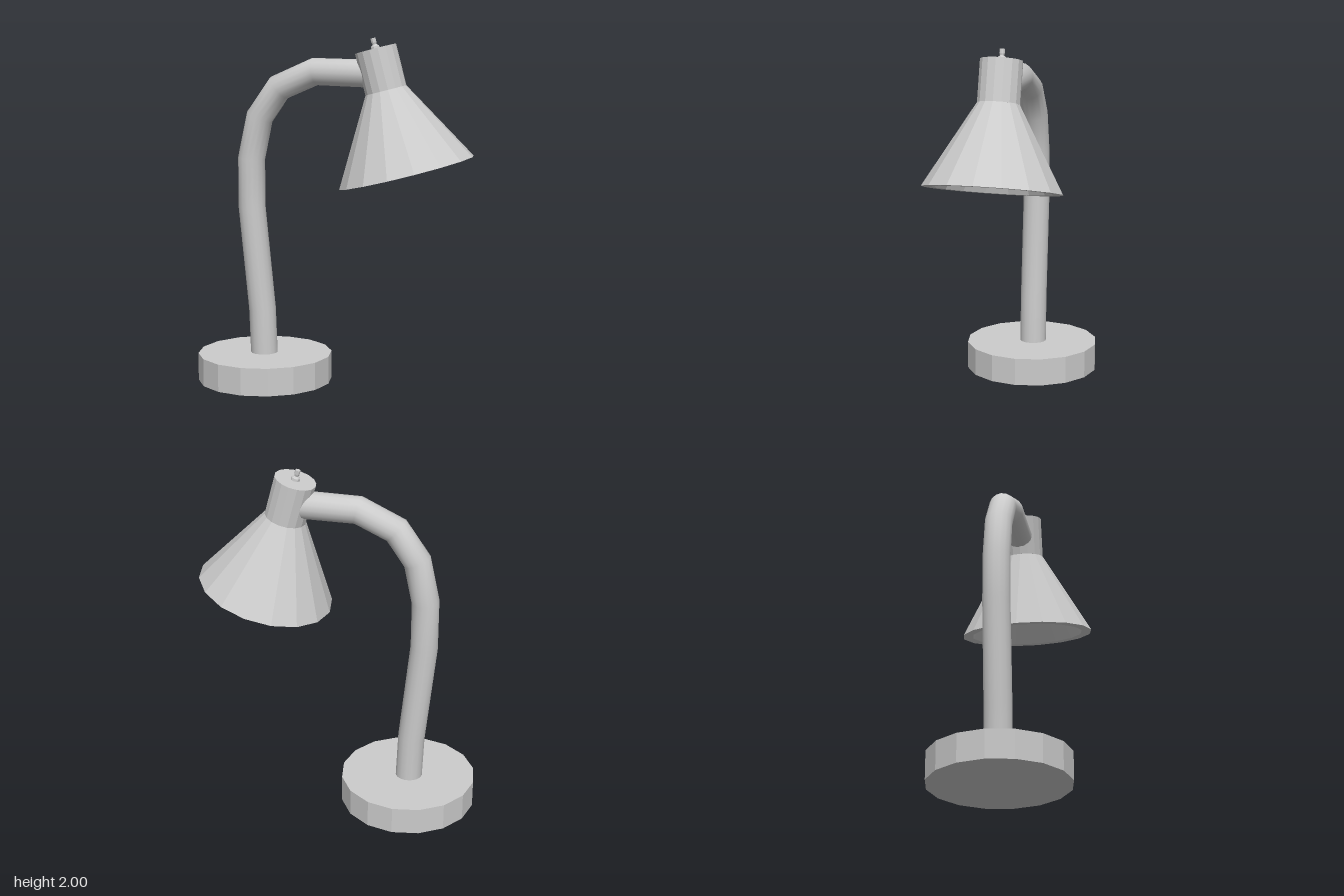
import * as THREE from 'three';

const flat = new THREE.MeshStandardMaterial({ color: 0xcccccc, flatShading: true });
const smooth = new THREE.MeshStandardMaterial({ color: 0xcccccc });
const SIDES = 16;

function part(name, geometry, material = flat) {
  const mesh = new THREE.Mesh(geometry, material);
  mesh.name = name;
  return mesh;
}

const lathe = (profile, sides = SIDES) =>
  new THREE.LatheGeometry(profile.map(([r, y]) => new THREE.Vector2(r, y)), sides);

// Curve that puts one tube ring on every given point, turned to halve the bend
class BentPath extends THREE.Curve {
  constructor(points) {
    super();
    this.points = points;
  }
  getPoint(t, target = new THREE.Vector3()) {
    const p = this.points, n = p.length - 1;
    const i = Math.min(Math.floor(t * n + 1e-6), n - 1);
    return target.lerpVectors(p[i], p[i + 1], t * n - i);
  }
  getPointAt(t, target) {
    return this.getPoint(t, target);
  }
  getTangentAt(t, target = new THREE.Vector3()) {
    const p = this.points, n = p.length - 1, i = Math.round(t * n);
    const dir = (a) => p[a + 1].clone().sub(p[a]).normalize();
    return target.addVectors(dir(Math.max(i - 1, 0)), dir(Math.min(i, n - 1))).normalize();
  }
}

export function createModel() {
  const lamp = new THREE.Group();
  lamp.name = 'deskLamp';

  // Round foot
  const base = part('base', new THREE.CylinderGeometry(0.39, 0.39, 0.16, SIDES));
  base.position.set(-0.42, 0.08, 0);
  lamp.add(base);

  // Gooseneck arm, from inside the foot to inside the collar
  const path = [
    [-0.425, 0.1], [-0.437, 0.42], [-0.497, 1.02], [-0.497, 1.3],
    [-0.445, 1.54], [-0.325, 1.71], [-0.11, 1.805], [0.22, 1.8],
  ].map(([x, y]) => new THREE.Vector3(x, y, -0.006));
  lamp.add(part('arm',
    new THREE.TubeGeometry(new BentPath(path), path.length - 1, 0.078, 16), smooth));

  // Tilted head, with its origin at the centre of the shade's rim
  const head = new THREE.Group();
  head.name = 'head';
  head.position.set(0.43, 1.255, 0);
  head.rotation.z = THREE.MathUtils.degToRad(15);
  lamp.add(head);

  // Hollow cone with a flat rim
  head.add(part('shade', lathe([
    [0, 0.43], [0.08, 0.43], [0.33, 0], [0.388, 0], [0.117, 0.472],
  ])));

  // Socket collar above the cone
  const collar = part('collar', new THREE.CylinderGeometry(0.118, 0.118, 0.237, SIDES));
  collar.position.y = 0.59;
  head.add(collar);

  // Small switch on top
  const knob = part('switch', lathe([
    [0.026, 0], [0.024, 0.014], [0.012, 0.024], [0.015, 0.036], [0.015, 0.06], [0, 0.06],
  ], 8));
  knob.position.y = 0.7085;
  head.add(knob);

  return lamp;
}
